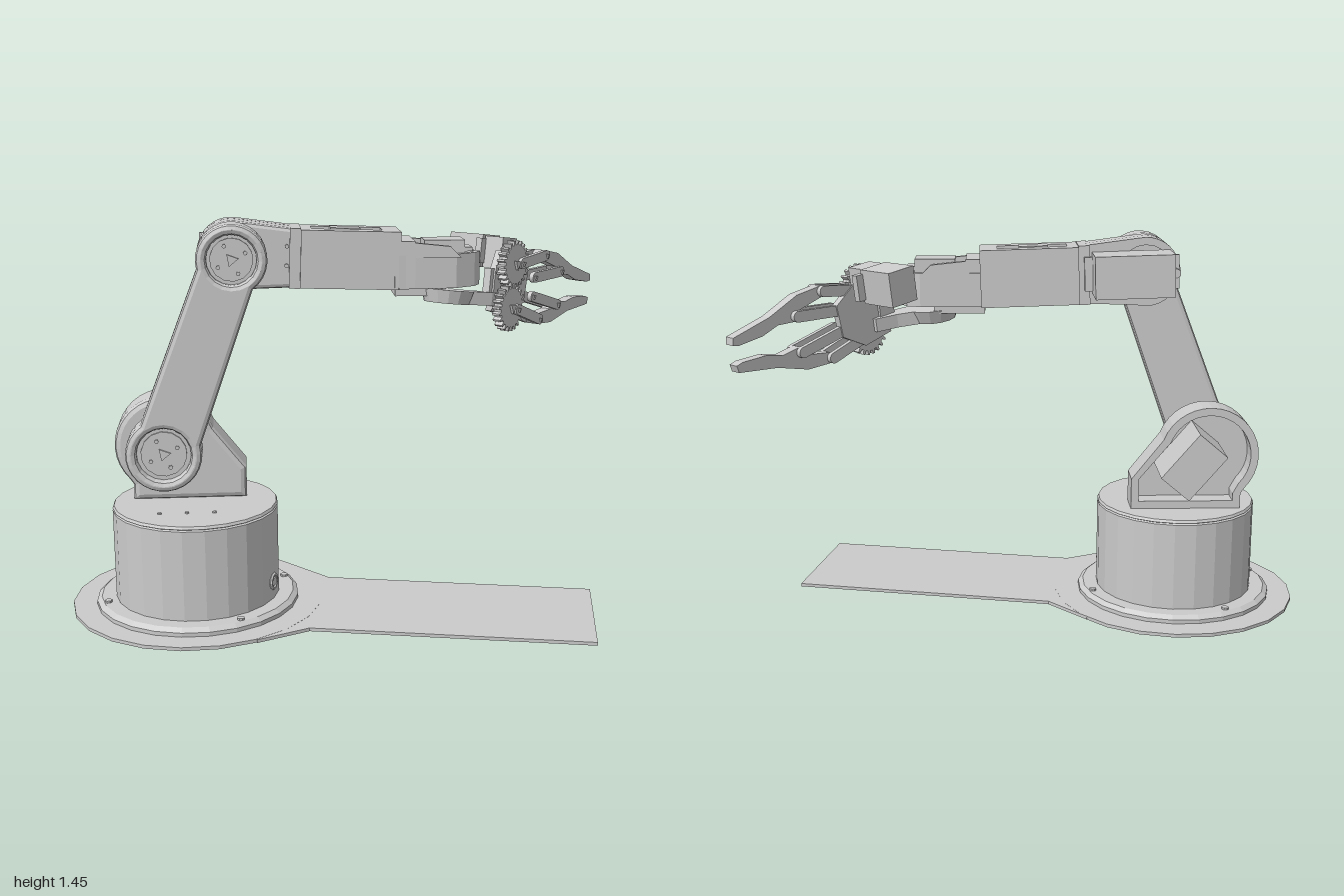
import * as THREE from 'three';

const mat = new THREE.MeshStandardMaterial({ color: 0xcccccc, flatShading: true, side: THREE.DoubleSide });

function add(parent, name, geo, x = 0, y = 0, z = 0) {
  const m = new THREE.Mesh(geo, mat);
  m.name = name;
  m.position.set(x, y, z);
  parent.add(m);
  return m;
}
// Box given by its minimum and maximum corners
function box(parent, name, a, b) {
  const s = a.map((v, i) => b[i] - v), c = a.map((v, i) => (v + b[i]) / 2);
  return add(parent, name, new THREE.BoxGeometry(...s), ...c);
}
const poly = pts => new THREE.Shape(pts.map(p => new THREE.Vector2(...p)));
const disc = (x, y, r) => new THREE.Path().absarc(x, y, r, 0, Math.PI * 2);
// Side-on slab between two z values, with an optional chamfer
function slab(parent, name, shape, z0, z1, bevel = 0) {
  const geo = new THREE.ExtrudeGeometry(shape, {
    depth: z1 - z0 - 2 * bevel, curveSegments: 10, bevelEnabled: bevel > 0, bevelSegments: 2,
    bevelSize: bevel, bevelThickness: bevel, bevelOffset: -bevel });
  return add(parent, name, geo, 0, 0, z0 + bevel);
}
// Plan-view slab between two heights; shape points are (x, -z)
function floorSlab(parent, name, shape, y0, y1) {
  const geo = new THREE.ExtrudeGeometry(shape, { depth: y1 - y0, bevelEnabled: false, curveSegments: 10 });
  return add(parent, name, geo.rotateX(-Math.PI / 2), 0, y0, 0);
}
// Short cylinder along z
function pin(parent, name, x, y, z, r, len, sides) {
  return add(parent, name, new THREE.CylinderGeometry(r, r, len, sides).rotateX(Math.PI / 2), x, y, z);
}

function buildBase(root) {
  const base = new THREE.Group();
  base.name = 'base';
  base.position.set(-0.525, 0, 0.33);
  root.add(base);
  add(base, 'groundDisc', new THREE.CylinderGeometry(0.475, 0.475, 0.013, 22), 0, 0.0065, -0.005);
  floorSlab(base, 'groundPlate', poly([[0.3, -0.37], [0.47, -0.247], [1.5, -0.247], [1.5, 0.247],
    [0.47, 0.247], [0.3, 0.37]]), 0, 0.0125).rotation.y = 0.184;
  const profile = [[0, 0.012], [0.383, 0.012], [0.383, 0.028], [0.365, 0.042], [0.31, 0.042], [0.31, 0.382],
    [0.302, 0.386], [0.31, 0.39], [0.305, 0.4], [0, 0.4]].map(p => new THREE.Vector2(...p));
  add(base, 'drum', new THREE.LatheGeometry(profile, 24));
  for (const sx of [-1, 1]) for (const sz of [-1, 1])
    add(base, 'flangeScrew', new THREE.CylinderGeometry(0.014, 0.014, 0.012, 8), sx * 0.267, 0.044, sz * 0.222);
  // Cable port on the side of the drum
  add(base, 'cablePort', new THREE.TorusGeometry(0.027, 0.007, 6, 10).rotateY(Math.PI / 2), 0.31, 0.11, 0);
  box(base, 'cablePlug', [0.3, 0.095, -0.02], [0.314, 0.122, 0.02]);
}

// Outline of the shoulder bracket, shrunk by an inset
function bracketShape(i) {
  const s = new THREE.Shape();
  s.moveTo(0.2 - i, 0.4 + i);
  s.lineTo(0.2 - i, 0.52);
  s.absarc(-0.1, 0.61, 0.19 - i, 0.35, Math.PI * 1.24, false);
  s.lineTo(-0.225 + i, 0.46);
  s.lineTo(-0.225 + i, 0.4 + i);
  return s;
}

function buildShoulder(arm) {
  const rim = bracketShape(0);
  rim.holes.push(bracketShape(0.03));
  slab(arm, 'shoulderBracketRim', rim, -0.16, -0.06);
  slab(arm, 'shoulderBracketPlate', bracketShape(0), -0.085, -0.015, 0.022);
  pin(arm, 'shoulderShaft', -0.1, 0.61, -0.01, 0.07, 0.1, 12);
  const servo = box(arm, 'shoulderServo', [-0.13, 0.535, -0.305], [0.09, 0.675, -0.08]);
  servo.rotation.z = -0.87;
  for (const x of [-0.12, -0.02, 0.08])
    add(arm, 'turntableScrew', new THREE.CylinderGeometry(0.008, 0.008, 0.006, 6), x, 0.402, 0.15);
}

function buildUpperArm(arm) {
  const link = new THREE.Group();
  link.name = 'upperArm';
  link.position.set(-0.1, 0.61, 0);
  link.rotation.z = -0.354;
  arm.add(link);
  const L = 0.757;
  const outline = () => {
    const s = new THREE.Shape();
    s.absarc(0, 0, 0.14, Math.PI - 0.6, Math.PI * 2 + 0.6);
    s.absarc(0, L, 0.128, -0.6, Math.PI + 0.6);
    return s;
  };
  slab(link, 'upperArmBack', outline(), 0, 0.085, 0.018);
  const front = outline();
  front.holes.push(disc(0, 0, 0.1), disc(0, L, 0.09));
  slab(link, 'upperArmFront', front, 0.03, 0.12, 0.018);
  for (const [y, r] of [[0, 0.085], [L, 0.078]]) {
    pin(link, 'jointHorn', 0, y, 0.085, r, 0.014, 14);
    pin(link, 'hornBolt', 0, y, 0.094, 0.026, 0.012, 3);
    for (const a of [0.8, 2.4, 4, 5.5])
      pin(link, 'hornScrew', Math.cos(a) * 0.055, y + Math.sin(a) * 0.055, 0.093, 0.008, 0.01, 6);
  }
}

function buildForearm(arm) {
  const f = new THREE.Group();
  f.name = 'forearm';
  f.position.set(0.162, 1.32, 0);
  f.rotation.z = -0.03;
  arm.add(f);
  // Rounded elbow shell, open at the back around the servo horn
  const shell = new THREE.Shape();
  shell.moveTo(0.25, -0.11);
  shell.lineTo(0.25, 0.103);
  shell.absarc(0, 0, 0.128, Math.PI * 0.45, Math.PI * 1.6);
  slab(f, 'elbowShell', shell, -0.1, -0.005, 0.015);
  const back = shell.clone();
  back.holes.push(disc(0, 0, 0.1));
  slab(f, 'elbowRim', back, -0.15, -0.09);
  pin(f, 'elbowHorn', 0, 0, -0.11, 0.06, 0.1, 12);
  box(f, 'elbowServo', [-0.09, -0.075, -0.305], [0.2, 0.08, -0.145]);
  box(f, 'elbowServoTab', [-0.12, -0.06, -0.185], [0.23, 0.065, -0.165]);
  pin(f, 'elbowServoScrew', -0.105, 0, -0.2, 0.018, 0.04, 6);
  // Stepped collar and hollow box with a pocket in its top
  box(f, 'forearmCollar', [0.21, -0.113, -0.165], [0.25, 0.106, 0.003]);
  const rect = (x0, z0, x1, z1) => poly([[x0, -z1], [x1, -z1], [x1, -z0], [x0, -z0]]);
  const top = rect(0.25, -0.18, 0.615, 0.015);
  top.holes.push(rect(0.29, -0.125, 0.55, -0.045));
  floorSlab(f, 'forearmBox', rect(0.25, -0.18, 0.615, 0.015), -0.11, 0.06);
  floorSlab(f, 'forearmTop', top, 0.06, 0.102);
  box(f, 'rollServo', [0.36, 0.055, -0.12], [0.47, 0.106, -0.05]);
  for (const y of [-0.03, 0.04]) pin(f, 'forearmScrew', 0.2, y, -0.005, 0.008, 0.02, 6);
}

function buildWrist(arm) {
  const cup = k => poly([[0.77 + k, -0.022 + k], [0.985 - k * 0.5, -0.005 + k], [1.06 - k, 0.04 + k * 0.4],
    [1.087 - k, 0.085], [1.05 - k, 0.15 - k * 0.6], [1 - k, 0.168 - k], [0.77 + k, 0.172 - k]]);
  const wall = cup(0);
  wall.holes.push(cup(0.022));
  floorSlab(arm, 'wristFloor', cup(0), 1.195, 1.22);
  floorSlab(arm, 'wristWall', wall, 1.22, 1.32);
  box(arm, 'wristCollar', [0.755, 1.2, -0.17], [0.83, 1.37, 0.02]);
  for (const z of [-0.17, 0])
    slab(arm, 'wristCheek', poly([[0.82, 1.31], [1.0, 1.31], [0.96, 1.35], [0.82, 1.365]]), z, z + 0.02);
  box(arm, 'wristServo', [0.87, 1.22, -0.135], [1.02, 1.368, -0.03]);
  box(arm, 'wristServoTab', [0.84, 1.325, -0.13], [1.05, 1.34, -0.035]);
  box(arm, 'wristUnderplate', [0.76, 1.165, -0.14], [0.95, 1.2, -0.01]);
}

function gearShape(r0, r1, n) {
  const pts = [];
  for (let i = 0; i < n; i++)
    [[0, r0], [0.3, r0], [0.45, r1], [0.75, r1], [0.9, r0]].forEach(([t, r]) => {
      const a = (i + t) / n * Math.PI * 2;
      pts.push([Math.cos(a) * r, Math.sin(a) * r]);
    });
  return poly(pts);
}

// Flat linkage bar with rounded ends and bolts
function bar(parent, name, a, b, r, z0, z1) {
  const s = new THREE.Shape(), t = Math.atan2(b[1] - a[1], b[0] - a[0]);
  s.absarc(...a, r, t + Math.PI / 2, t + Math.PI * 1.5);
  s.absarc(...b, r, t - Math.PI / 2, t + Math.PI / 2);
  slab(parent, name, s, z0, z1);
  for (const p of [a, b]) pin(parent, 'linkBolt', p[0], p[1], z1, 0.011, 0.014, 3);
}

function buildGripper(root) {
  const g = new THREE.Group();
  g.name = 'gripper';
  g.position.set(0.54, 1.18, -0.25);
  g.rotation.set(0, 1.204, -0.14, 'YXZ');
  root.add(g);
  // Swivel dish under the wrist and neck up to the gripper body
  add(g, 'swivelDish', new THREE.CylinderGeometry(0.1, 0.085, 0.05, 14), -0.23, -0.055, -0.126);
  const neck = floorSlab(g, 'swivelNeck', poly([[-0.24, 0.2], [-0.08, 0.09], [0, 0.06], [0, 0.015],
    [-0.09, 0.015], [-0.2, 0.05]]), -0.08, -0.03);
  neck.name = 'swivelNeck';
  box(g, 'neckRib', [-0.1, -0.08, -0.055], [-0.03, 0.06, -0.025]);
  slab(g, 'gripperBody', poly([[-0.08, -0.1], [0.05, -0.12], [0.15, -0.06], [0.16, 0.06], [0.05, 0.13],
    [-0.05, 0.13], [-0.08, 0.05]]), -0.045, -0.018);
  box(g, 'gripperServo', [-0.03, 0.06, -0.27], [0.09, 0.185, -0.12]);
  box(g, 'gripperServoTab', [-0.06, 0.075, -0.13], [0.12, 0.17, -0.105]);
  box(g, 'gripperServoNose', [-0.03, 0.06, -0.11], [0.07, 0.18, -0.03]);
  // Mirrored gear, linkage and finger
  for (const s of [1, -1]) {
    const gear = slab(g, 'gear', gearShape(0.074, 0.09, 22), -0.012, 0.022);
    gear.position.y = s * 0.083;
    gear.rotation.z = s > 0 ? 0 : Math.PI / 22;
    pin(g, 'gearBolt', 0, s * 0.083, 0.024, 0.022, 0.016, 3);
    bar(g, 'gearArm', [0.03, s * 0.088], [0.2, s * 0.125], 0.02, 0.018, 0.036);
    for (const z of [-0.04, 0.018])
      bar(g, 'guideLink', [0.13, s * 0.037], [0.33, s * 0.066], 0.02, z, z + 0.018);
    bar(g, 'rearGearArm', [0.03, s * 0.088], [0.2, s * 0.125], 0.02, -0.04, -0.022);
    const finger = [[0.18, 0.125], [0.2, 0.145], [0.31, 0.138], [0.44, 0.092], [0.6, 0.062], [0.605, 0.036],
      [0.58, 0.03], [0.48, 0.035], [0.41, 0.055], [0.33, 0.047], [0.3, 0.085], [0.2, 0.105]];
    slab(g, 'finger', poly(finger.map(([x, y]) => [x, s * y])), -0.022, 0.02);
  }
}

export function createModel() {
  const root = new THREE.Group();
  root.name = 'robotArm';
  buildBase(root);
  const arm = new THREE.Group();
  arm.name = 'arm';
  arm.position.set(-0.53, 0, 0.335);
  arm.rotation.y = Math.PI / 8;
  root.add(arm);
  buildShoulder(arm);
  buildUpperArm(arm);
  buildForearm(arm);
  buildWrist(arm);
  buildGripper(root);
  return root;
}
